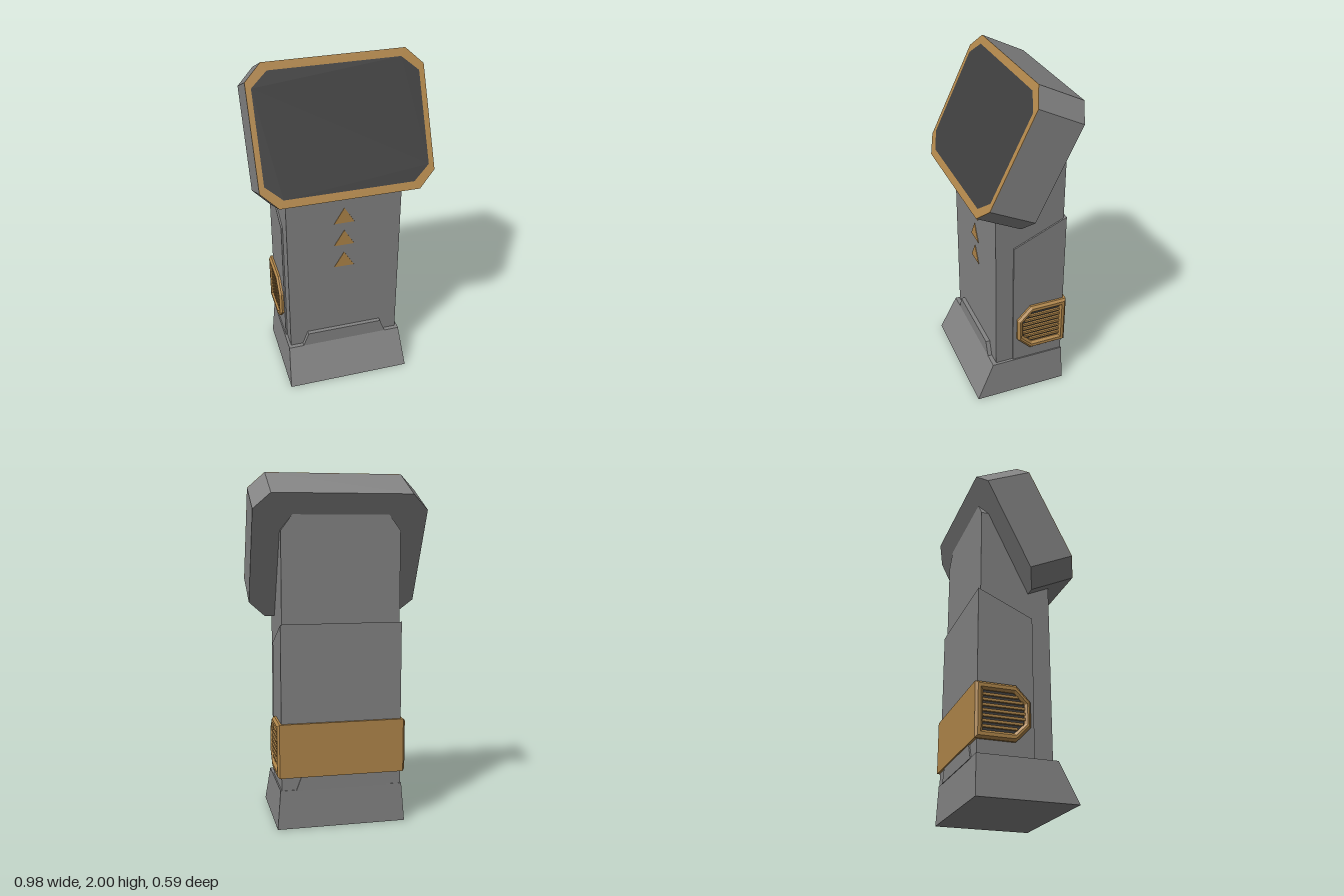
import * as THREE from 'three';

const mat = (name, color) => new THREE.MeshStandardMaterial({ name, color });

// Polygon from a list of [x, y] corners
const poly = (pts) => new THREE.Shape(pts.map(([x, y]) => new THREE.Vector2(x, y)));

// Rectangle with cut corners
const cutRect = (hw, hh, cx, cy) => [
  [-hw + cx, -hh], [hw - cx, -hh], [hw, -hh + cy], [hw, hh - cy],
  [hw - cx, hh], [-hw + cx, hh], [-hw, hh - cy], [-hw, -hh + cy],
];

// Side profile of [z, y] corners, extruded across x and centred, with an optional edge bevel
function across(shape, halfWidth, bevel = 0) {
  const depth = 2 * (halfWidth - bevel);
  return new THREE.ExtrudeGeometry(shape, {
    depth, bevelEnabled: bevel > 0, bevelSegments: 1,
    bevelThickness: bevel, bevelSize: bevel, bevelOffset: -bevel,
  }).translate(0, 0, -depth / 2).rotateY(-Math.PI / 2);
}

// Front outline extruded from z0 to z1
const upright = (shape, z0, z1) =>
  new THREE.ExtrudeGeometry(shape, { depth: z1 - z0, bevelEnabled: false }).translate(0, 0, z0);

export function createModel() {
  const root = new THREE.Group();
  root.name = 'kiosk';
  const grey = mat('grey metal', 0x838383);
  const gold = mat('gold trim', 0xb0864a);
  const dark = mat('dark screen', 0x3e3e3e);

  const add = (name, geometry, material, parent = root) => {
    const mesh = new THREE.Mesh(geometry, material);
    mesh.name = name;
    parent.add(mesh);
    return mesh;
  };

  // Flared foot
  const foot = new THREE.BoxGeometry(1, 0.225, 1).translate(0, 0.1125, 0);
  const p = foot.attributes.position;
  for (let i = 0; i < p.count; i++) {
    const top = p.getY(i) > 0.1;
    p.setX(i, Math.sign(p.getX(i)) * (top ? 0.354 : 0.373));
    p.setZ(i, p.getZ(i) > 0 ? (top ? 0.19 : 0.295) : (top ? -0.258 : -0.265));
  }
  foot.computeVertexNormals();
  add('foot', foot, grey);

  // Raised tabs on the front and back of the foot
  const tab = poly([[-0.265, 0.22], [0.265, 0.22], [0.23, 0.312], [-0.23, 0.312]]);
  add('frontTab', upright(tab, 0.15, 0.19), grey);
  add('backTab', upright(tab, -0.262, -0.22), grey);

  // Column, with a cut-cornered upper part behind the head
  add('column', new THREE.BoxGeometry(0.676, 1.08, 0.405).translate(0, 0.74, -0.0375), grey);
  const neck = poly([[-0.338, 1.28], [0.338, 1.28], [0.338, 1.68],
    [0.27, 1.77], [-0.27, 1.77], [-0.338, 1.68]]);
  add('neck', upright(neck, -0.24, 0), grey);

  // Shell wrapped around the sides and back
  const shell = poly([[-0.255, 0.22], [0.06, 0.22], [0.06, 1.03], [-0.255, 1.17]]);
  add('shell', across(shell, 0.347), grey);

  // Gold band with a vent at each end
  const outer = [[-0.27, 0.3], [-0.045, 0.3], [0.037, 0.385],
    [0.037, 0.525], [-0.045, 0.61], [-0.27, 0.61]];
  const hole = [[-0.228, 0.345], [-0.055, 0.345], [0.002, 0.403],
    [0.002, 0.507], [-0.055, 0.565], [-0.228, 0.565]];
  const ring = poly(outer);
  ring.holes.push(poly(hole));
  add('band', across(ring, 0.372, 0.013), gold);
  const core = poly([[-0.25, 0.32], [-0.05, 0.32], [0.02, 0.395],
    [0.02, 0.515], [-0.05, 0.59], [-0.25, 0.59]]);
  add('ventRecess', across(core, 0.353), dark);
  for (let i = -3; i <= 3; i++) {
    const dy = i * 0.029;
    const front = 0.004 - Math.max(0, Math.abs(dy) - 0.046);
    const slat = new THREE.BoxGeometry(0.73, 0.014, front + 0.23);
    add('ventSlat', slat.translate(0, 0.455 + dy, (front - 0.23) / 2), gold);
  }

  // Row of arrow marks on the front
  for (const y of [0.772, 0.924, 1.076]) {
    const arrow = poly([[-0.06, y], [0.06, y], [0, y + 0.1]]);
    add('arrowMark', upright(arrow, 0.164, 0.168), gold);
  }

  // Tilted head with rim and screen
  const head = new THREE.Group();
  head.name = 'head';
  head.position.set(0, 1.595, 0);
  head.rotation.x = -0.452;
  root.add(head);
  const outline = cutRect(0.49, 0.3835, 0.095, 0.094);
  const inner = cutRect(0.46, 0.339, 0.093, 0.083);
  add('headBody', upright(poly(outline), -0.141, 0.139), grey, head);
  const rim = poly(outline);
  rim.holes.push(poly(inner));
  add('screenRim', upright(rim, 0.139, 0.142), gold, head);
  add('screen', upright(poly(inner), 0.139, 0.142), dark, head);

  return root;
}
